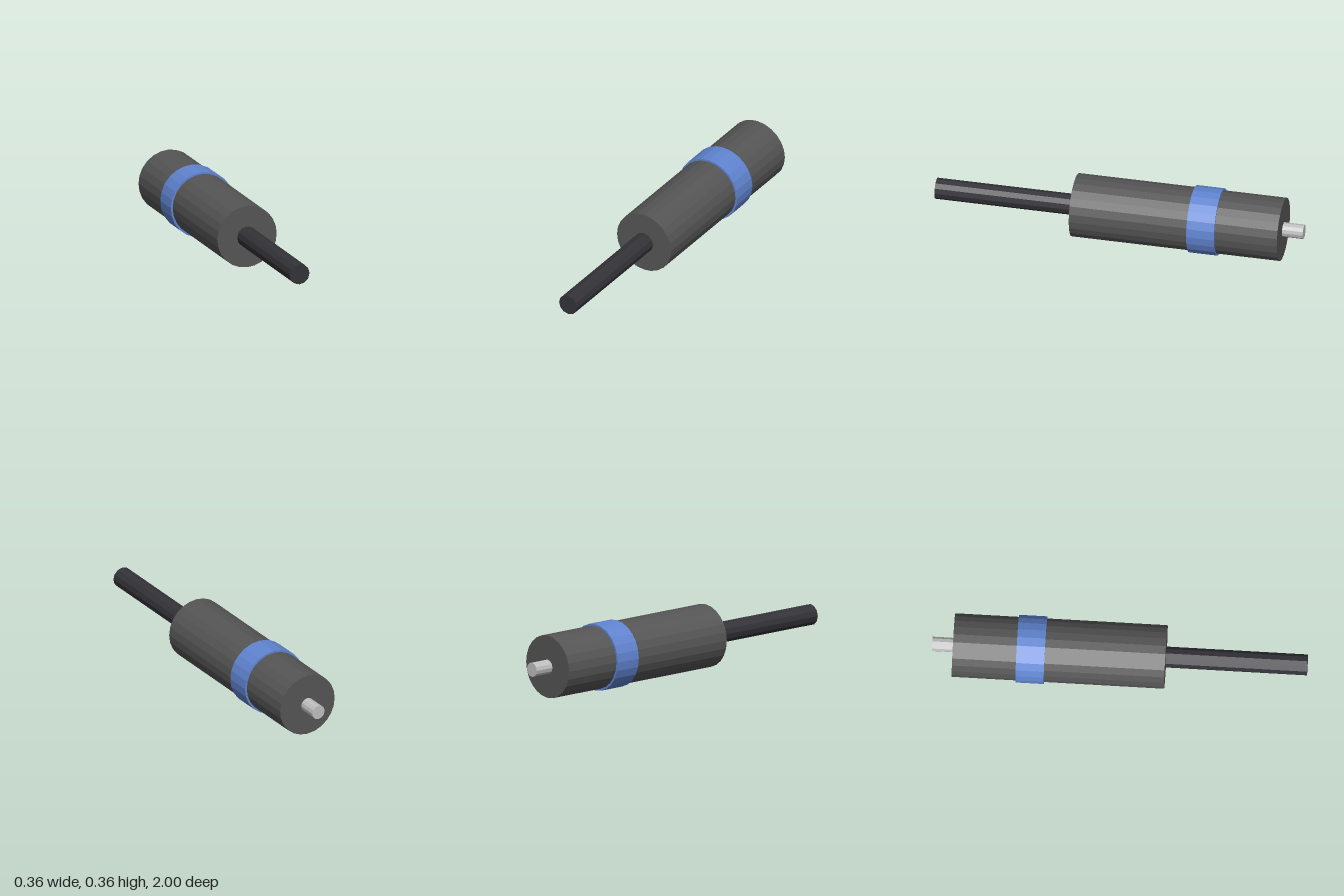
import * as THREE from 'three';

const material = (name, color) => {
  const m = new THREE.MeshStandardMaterial({ color, flatShading: true });
  m.name = name;
  return m;
};

const AXIS_HEIGHT = 0.181;

// Cylinder lying along z between two depths
function rod(name, radius, back, front, sides, mat) {
  const geometry = new THREE.CylinderGeometry(radius, radius, front - back, sides);
  geometry.rotateX(Math.PI / 2);
  const mesh = new THREE.Mesh(geometry, mat);
  mesh.name = name;
  mesh.position.set(0, AXIS_HEIGHT, (front + back) / 2);
  return mesh;
}

export function createModel() {
  const group = new THREE.Group();
  group.name = 'cylindricalDevice';

  const bodyGrey = material('body grey', 0x555555);
  const cableBlack = material('cable black', 0x333338);
  const bandBlue = material('band blue', 0x6084d0);
  const pinSilver = material('pin silver', 0xc0c0c0);

  group.add(
    rod('body', 0.17, -0.887, 0.245, 24, bodyGrey),
    rod('band', 0.181, -0.547, -0.396, 24, bandBlue),
    rod('frontShaft', 0.0566, 0.235, 1, 12, cableBlack),
    rod('rearPin', 0.039, -1, -0.877, 12, pinSilver)
  );
  return group;
}
